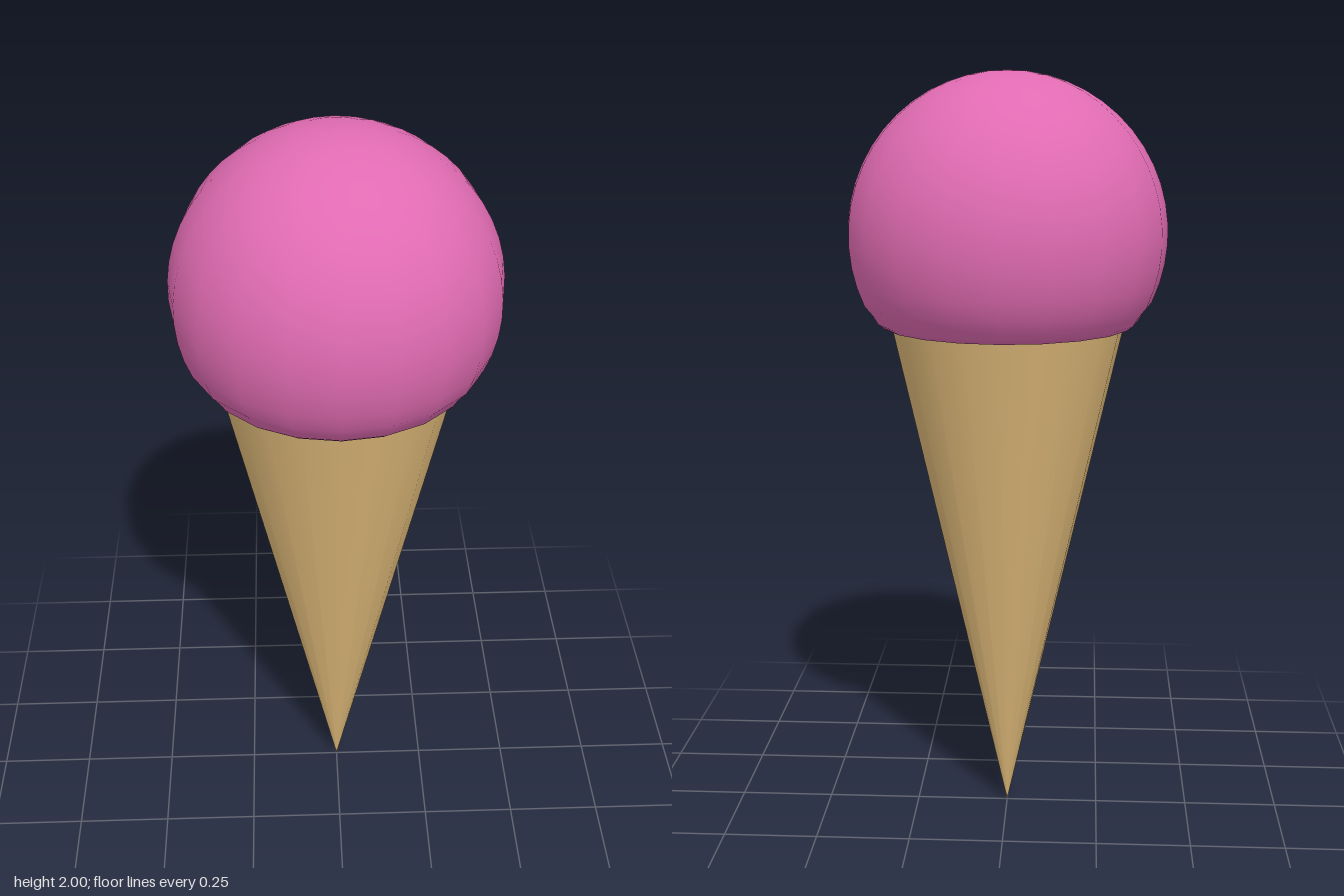
import * as THREE from 'three';

const SIDES = 20;

export function createModel() {
  const model = new THREE.Group();
  model.name = 'iceCreamCone';

  const pink = new THREE.MeshStandardMaterial({ color: 0xe06bb2 });
  pink.name = 'strawberry pink';
  const tan = new THREE.MeshStandardMaterial({ color: 0xdcb777 });
  tan.name = 'wafer tan';

  const lathe = (name, points, material) => {
    const profile = points.map(([r, y]) => new THREE.Vector2(r, y));
    const mesh = new THREE.Mesh(new THREE.LatheGeometry(profile, SIDES), material);
    mesh.name = name;
    model.add(mesh);
  };

  // Wafer cone, standing on its tip
  lathe('cone', [[0, 0], [0.305, 1.352]], tan);

  // Scoop: flat underside, rounded lip, then a ball up to the top
  const radius = 0.414, centreY = 1.586;
  const scoop = [[0, 1.35], [0.27, 1.35], [0.305, 1.35], [0.325, 1.353], [0.342, 1.366], [0.355, 1.388]];
  const start = -0.43, steps = 16;
  for (let i = 0; i <= steps; i++) {
    const a = start + (Math.PI / 2 - start) * (i / steps);
    scoop.push([i === steps ? 0 : radius * Math.cos(a), centreY + radius * Math.sin(a)]);
  }
  lathe('scoop', scoop, pink);

  return model;
}
